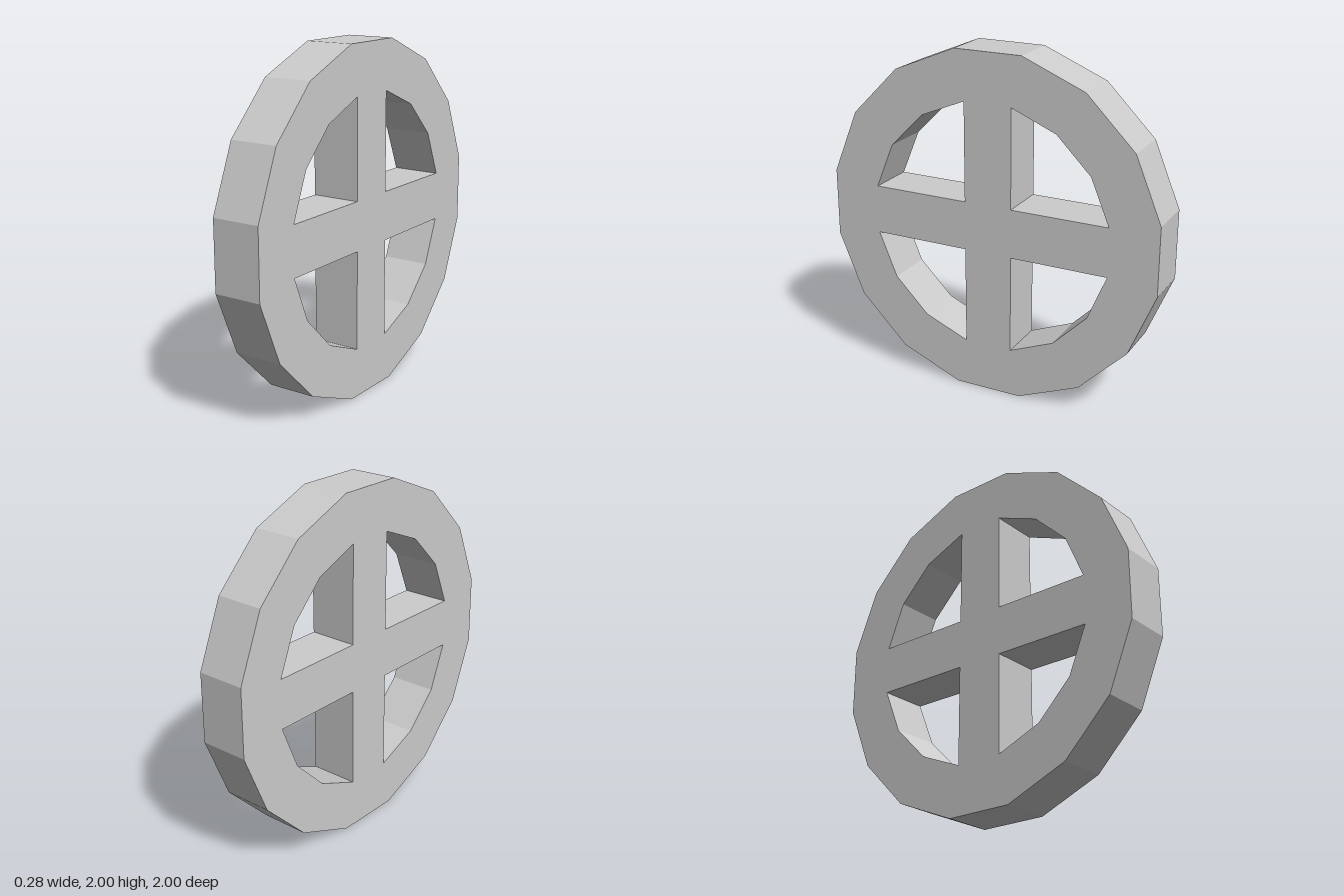
import * as THREE from 'three';

const SIDES = 16;
const OUTER = 1 / Math.cos(Math.PI / SIDES); // flats touch the unit square
const INNER = 0.73;
const HALF = INNER * Math.sin(Math.PI / SIDES); // half width of spokes and of the wheel
const corner = (radius, i) => {
  const a = ((i + 0.5) * 2 * Math.PI) / SIDES;
  return new THREE.Vector2(radius * Math.cos(a), radius * Math.sin(a));
};

export function createModel() {
  const group = new THREE.Group();
  group.name = 'wheel';

  // Sixteen-sided rim outline
  const outline = new THREE.Shape(Array.from({ length: SIDES }, (_, i) => corner(OUTER, i)));

  // Four openings between the crossed spokes
  for (let q = 0; q < 4; q++) {
    const points = [new THREE.Vector2(HALF, HALF)];
    for (let i = 0; i < SIDES / 4; i++) points.push(corner(INNER, i));
    points.forEach((p) => p.rotateAround(new THREE.Vector2(), (q * Math.PI) / 2));
    outline.holes.push(new THREE.Path(points.reverse()));
  }

  // Extrude the thickness, then turn the axle along x and stand it on the floor
  const geometry = new THREE.ExtrudeGeometry(outline, { depth: 2 * HALF, bevelEnabled: false });
  geometry.translate(0, 0, -HALF).rotateY(Math.PI / 2).translate(0, 1, 0);

  const wheel = new THREE.Mesh(
    geometry,
    new THREE.MeshStandardMaterial({ color: 0xcccccc, flatShading: true })
  );
  wheel.name = 'rimAndSpokes';
  group.add(wheel);
  return group;
}
